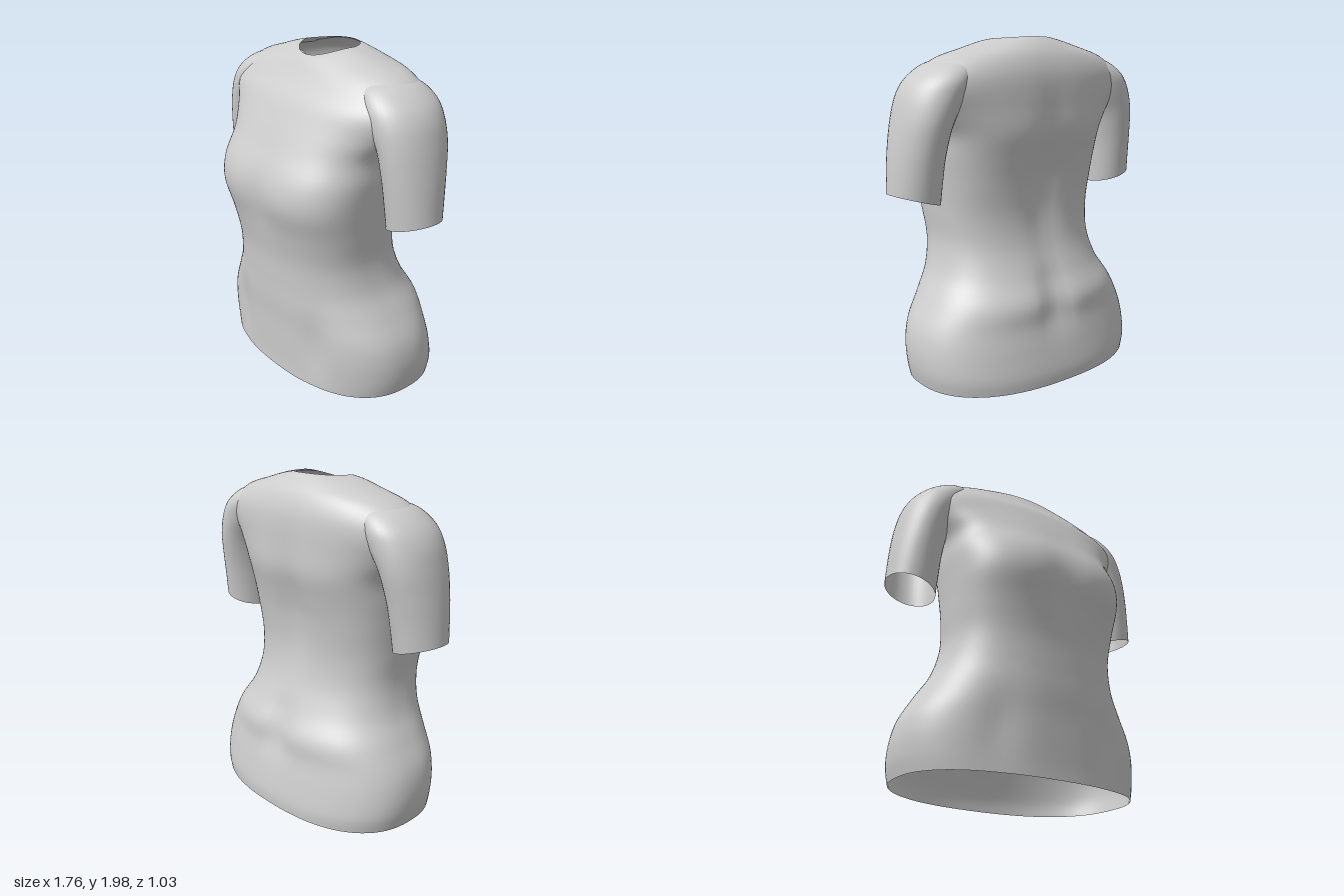
import * as THREE from 'three';

// Catmull-Rom blend of the numeric rows of a table at t in [0, 1]
function sampleRows(rows, t) {
  const f = t * (rows.length - 1);
  const i = Math.min(Math.floor(f), rows.length - 2);
  const u = f - i;
  const at = k => rows[Math.max(0, Math.min(rows.length - 1, k))];
  const [p, q, r, s] = [at(i - 1), at(i), at(i + 1), at(i + 2)];
  return q.map((b, k) => {
    const m0 = (r[k] - p[k]) / 2, m1 = (s[k] - b) / 2, d = r[k] - b;
    return b + u * (m0 + u * (3 * d - 2 * m0 - m1 + u * (m0 + m1 - 2 * d)));
  });
}

// Smooth open tube through a stack of rings, wound to face outwards
function loft(rows, steps, seg, point) {
  const pos = [], index = [];
  for (let i = 0; i <= steps; i++) {
    const row = sampleRows(rows, i / steps);
    for (let j = 0; j < seg; j++) pos.push(...point(row, (j / seg) * Math.PI * 2));
  }
  for (let i = 0; i < steps; i++) {
    for (let j = 0; j < seg; j++) {
      const a = i * seg + j, b = i * seg + (j + 1) % seg;
      index.push(a, a + seg, b, b, a + seg, b + seg);
    }
  }
  const geo = new THREE.BufferGeometry();
  geo.setAttribute('position', new THREE.Float32BufferAttribute(pos, 3));
  geo.setIndex(index);
  geo.computeVertexNormals();
  return geo;
}

const power = (v, n) => Math.sign(v) * Math.abs(v) ** (2 / n);
const bump = (v, centre, size) => Math.exp(-(((v - centre) / size) ** 2));

// half width, front z, back z, y at sides, y at front, y at back, squareness
const TORSO = [
  [0.73, 0.41, -0.51, 0.03, 0.02, 0.02, 2.4],
  [0.75, 0.41, -0.51, 0.13, 0.10, 0.10, 2.4],
  [0.75, 0.415, -0.485, 0.25, 0.24, 0.24, 2.4],
  [0.72, 0.42, -0.46, 0.37, 0.37, 0.37, 2.4],
  [0.64, 0.43, -0.45, 0.51, 0.51, 0.50, 2.4],
  [0.56, 0.435, -0.375, 0.65, 0.65, 0.64, 2.4],
  [0.52, 0.445, -0.31, 0.82, 0.82, 0.80, 2.5],
  [0.53, 0.48, -0.285, 1.00, 1.00, 0.98, 2.6],
  [0.545, 0.525, -0.30, 1.17, 1.18, 1.18, 2.8],
  [0.56, 0.51, -0.33, 1.32, 1.32, 1.32, 2.7],
  [0.57, 0.43, -0.365, 1.46, 1.48, 1.47, 2.6],
  [0.65, 0.36, -0.365, 1.57, 1.62, 1.62, 2.4],
  [0.74, 0.30, -0.36, 1.70, 1.73, 1.75, 2.2],
  [0.69, 0.24, -0.345, 1.80, 1.80, 1.83, 2.2],
  [0.57, 0.20, -0.315, 1.885, 1.85, 1.90, 2.2],
  [0.41, 0.165, -0.275, 1.935, 1.90, 1.95, 2.1],
  [0.27, 0.14, -0.235, 1.975, 1.93, 1.985, 2],
  [0.185, 0.12, -0.21, 1.99, 1.945, 2.0, 2],
];

function torsoPoint([w, zf, zb, ys, yf, yb, n], a) {
  const c = power(Math.cos(a), n), s = power(Math.sin(a), n);
  const cz = (zf + zb) / 2, half = (zf - zb) / 2;
  const x = w * c;
  const y = ys + ((s > 0 ? yf : yb) - ys) * s * s;
  let z = cz + half * s;
  if (s > 0) {
    // shallow dip between the bust, gentle belly folds
    z -= 0.022 * s * bump(x, 0, 0.12) * bump(y, 1.2, 0.2);
    z -= 0.025 * s * bump(Math.abs(x), 0.36, 0.1) * bump(y, 0.3, 0.2);
  } else {
    // spine groove and seat cleft
    z -= 0.035 * s * bump(x, 0, 0.1) * bump(y, 1.2, 0.4);
    z -= 0.05 * s * bump(x, 0.03, 0.09) * bump(y, 0.5, 0.16);
  }
  return [x, y, z];
}

// inner x, outer x, front z, back z, inner y, outer y
const SLEEVE = [
  [0.59, 0.88, 0.13, -0.19, 1.08, 1.16],
  [0.58, 0.87, 0.145, -0.21, 1.22, 1.30],
  [0.565, 0.855, 0.16, -0.235, 1.37, 1.43],
  [0.53, 0.83, 0.175, -0.265, 1.53, 1.57],
  [0.45, 0.795, 0.185, -0.28, 1.67, 1.69],
  [0.40, 0.735, 0.17, -0.275, 1.77, 1.78],
  [0.36, 0.63, 0.12, -0.23, 1.84, 1.855],
  [0.36, 0.52, 0.03, -0.14, 1.87, 1.88],
];

const sleevePoint = side => ([x0, x1, zf, zb, y0, y1], a) => {
  const c = Math.cos(a), s = Math.sin(a * side);
  const x = (x0 + x1) / 2 + (x1 - x0) / 2 * c;
  const y = (y0 + y1) / 2 + (y1 - y0) / 2 * c;
  return [side * x, y, (zf + zb) / 2 + (zf - zb) / 2 * s];
};

export function createModel() {
  const group = new THREE.Group();
  group.name = 'shirt';
  const fabric = new THREE.MeshStandardMaterial({ color: 0xcccccc, side: THREE.DoubleSide });
  fabric.name = 'light grey fabric';

  const add = (name, geo) => {
    const mesh = new THREE.Mesh(geo, fabric);
    mesh.name = name;
    group.add(mesh);
  };

  // body, open at hem and neck
  add('body', loft(TORSO, 85, 80, torsoPoint));
  // sleeves, open at the cuffs and blended into the shoulders
  add('leftSleeve', loft(SLEEVE, 42, 40, sleevePoint(1)));
  add('rightSleeve', loft(SLEEVE, 42, 40, sleevePoint(-1)));
  return group;
}
